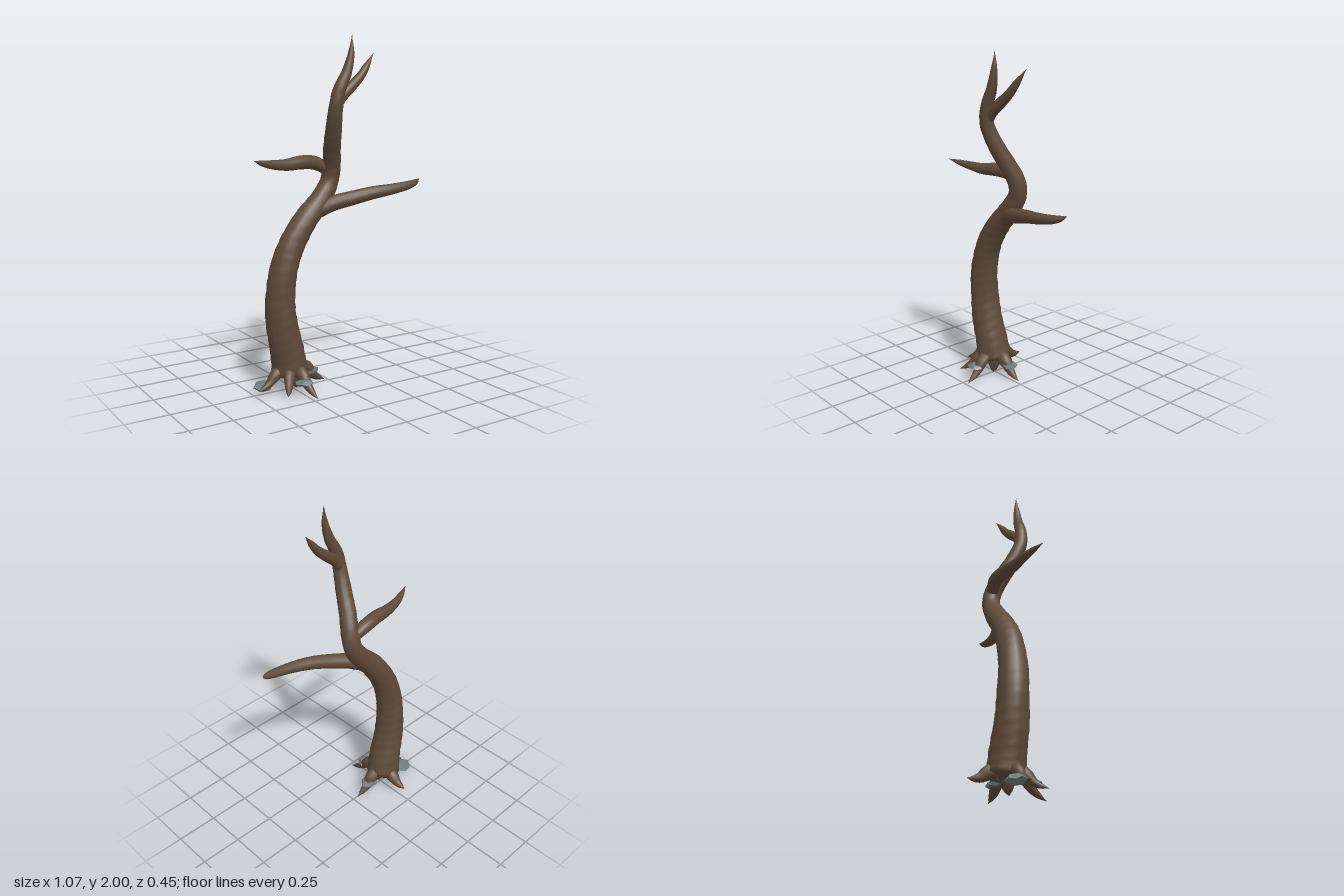
import * as THREE from 'three';
import { mergeVertices } from 'three/addons/utils/BufferGeometryUtils.js';

const bark = new THREE.MeshStandardMaterial({ color: 0x5f4b39 });
bark.name = 'bark brown';
const stone = new THREE.MeshStandardMaterial({ color: 0x6c7d7f });
stone.name = 'stone grey';

// Tapered limb through [x, y, z, radius] points, closed at both ends
function limb(name, points, segments, sides, bump = 0) {
  const curve = new THREE.CatmullRomCurve3(points.map(p => new THREE.Vector3(p[0], p[1], p[2])));
  const radii = new THREE.SplineCurve(points.map((p, i) => new THREE.Vector2(i, p[3])));
  let geo = new THREE.TubeGeometry(curve, segments, 1, sides, false);
  const pos = geo.attributes.position;
  const v = new THREE.Vector3();
  for (let i = 0; i <= segments; i++) {
    const u = i / segments;
    const center = curve.getPointAt(u);
    const r = i === 0 ? 0 : radii.getPoint(curve.getUtoTmapping(u)).y;
    for (let j = 0; j <= sides; j++) {
      const k = i * (sides + 1) + j;
      const a = (j % sides) / sides * Math.PI * 2;
      // gentle bark unevenness
      const wobble = 1 + bump * (Math.sin(a * 3 + i * 0.5) + Math.sin(a * 5 - i * 1.7) + Math.sin(a * 2 + i * 2.3));
      v.fromBufferAttribute(pos, k).sub(center).multiplyScalar(r * wobble).add(center);
      pos.setXYZ(k, v.x, v.y, v.z);
    }
  }
  geo.deleteAttribute('uv');
  geo.deleteAttribute('normal');
  geo = mergeVertices(geo, 1e-5);
  geo.computeVertexNormals();
  const mesh = new THREE.Mesh(geo, bark);
  mesh.name = name;
  return mesh;
}

// Flattened faceted stone
function rock(name, x, y, z, rx, ry, rz, turn) {
  const geo = new THREE.DodecahedronGeometry(1, 0);
  geo.rotateX(turn * 0.7);
  geo.rotateY(turn);
  geo.scale(rx, ry, rz);
  geo.computeVertexNormals();
  const mesh = new THREE.Mesh(geo, stone);
  mesh.name = name;
  mesh.position.set(x, y, z);
  return mesh;
}

export function createModel() {
  const tree = new THREE.Group();
  tree.name = 'bareTree';

  // Winding trunk up to the highest tip
  tree.add(limb('trunk', [
    [-0.26, 0.08, -0.01, 0.106], [-0.275, 0.18, -0.005, 0.1], [-0.315, 0.36, 0.003, 0.092],
    [-0.332, 0.52, 0.007, 0.085], [-0.318, 0.68, 0.015, 0.08], [-0.27, 0.83, 0.02, 0.075],
    [-0.18, 0.97, 0.022, 0.069], [-0.07, 1.09, 0.018, 0.061], [-0.008, 1.19, 0.015, 0.053],
    [-0.003, 1.27, 0.03, 0.052], [-0.03, 1.37, 0.075, 0.05], [-0.057, 1.48, 0.135, 0.046],
    [-0.074, 1.6, 0.182, 0.04], [-0.058, 1.7, 0.192, 0.036], [-0.012, 1.8, 0.197, 0.029],
    [0.014, 1.9, 0.2, 0.018], [0.02, 2, 0.2, 0.001],
  ], 90, 18, 0.012));

  // Side branches
  tree.add(limb('leftBranch', [
    [-0.11, 1.02, 0.025, 0.045], [-0.02, 1.065, 0.06, 0.045], [0.09, 1.095, 0.105, 0.042],
    [0.2, 1.12, 0.14, 0.038], [0.32, 1.137, 0.165, 0.032], [0.44, 1.155, 0.172, 0.025],
    [0.5, 1.17, 0.165, 0.017], [0.533, 1.186, 0.153, 0.002],
  ], 32, 14));
  tree.add(limb('rightBranch', [
    [0, 1.24, 0.03, 0.035], [-0.05, 1.275, 0.01, 0.036], [-0.11, 1.3, 0.005, 0.04],
    [-0.2, 1.305, 0.018, 0.039], [-0.3, 1.297, 0.033, 0.033], [-0.4, 1.304, 0.052, 0.025],
    [-0.48, 1.318, 0.08, 0.015], [-0.537, 1.332, 0.106, 0.001],
  ], 32, 14));
  tree.add(limb('topFork', [
    [-0.07, 1.61, 0.18, 0.028], [-0.03, 1.67, 0.178, 0.031], [0.03, 1.72, 0.172, 0.03],
    [0.1, 1.78, 0.165, 0.025], [0.15, 1.84, 0.155, 0.018], [0.205, 1.91, 0.14, 0.001],
  ], 26, 12));

  // Roots: tip position and thickness; each leaves the trunk foot and curves down
  const roots = [
    [-0.22, 0, 0.235, 0.036], [-0.378, 0.025, 0.175, 0.035], [-0.49, 0.03, 0.03, 0.036],
    [-0.255, 0.07, -0.215, 0.04], [-0.03, 0.008, -0.01, 0.04], [-0.235, 0.005, 0.02, 0.05],
  ];
  roots.forEach(([x, y, z, r], i) => {
    const along = (t, h, w) => [-0.26 + (x + 0.26) * t, h, -0.01 + (z + 0.01) * t, w];
    tree.add(limb('root' + (i + 1), [
      along(0.2, 0.13, r), along(0.45, 0.105, r), along(0.65, 0.4 * y + 0.05, r * 0.68),
      along(0.83, 0.7 * y + 0.02, r * 0.4), [x, y, z, 0.001],
    ], 14, 10));
  });

  // Stones between the roots
  tree.add(rock('sideStone', -0.43, 0.037, -0.025, 0.064, 0.028, 0.058, 0.4));
  tree.add(rock('frontStone', -0.257, 0.075, 0.143, 0.055, 0.018, 0.048, 1.1));
  tree.add(rock('backStone', -0.132, 0.08, -0.015, 0.067, 0.019, 0.05, 2.0));
  return tree;
}
